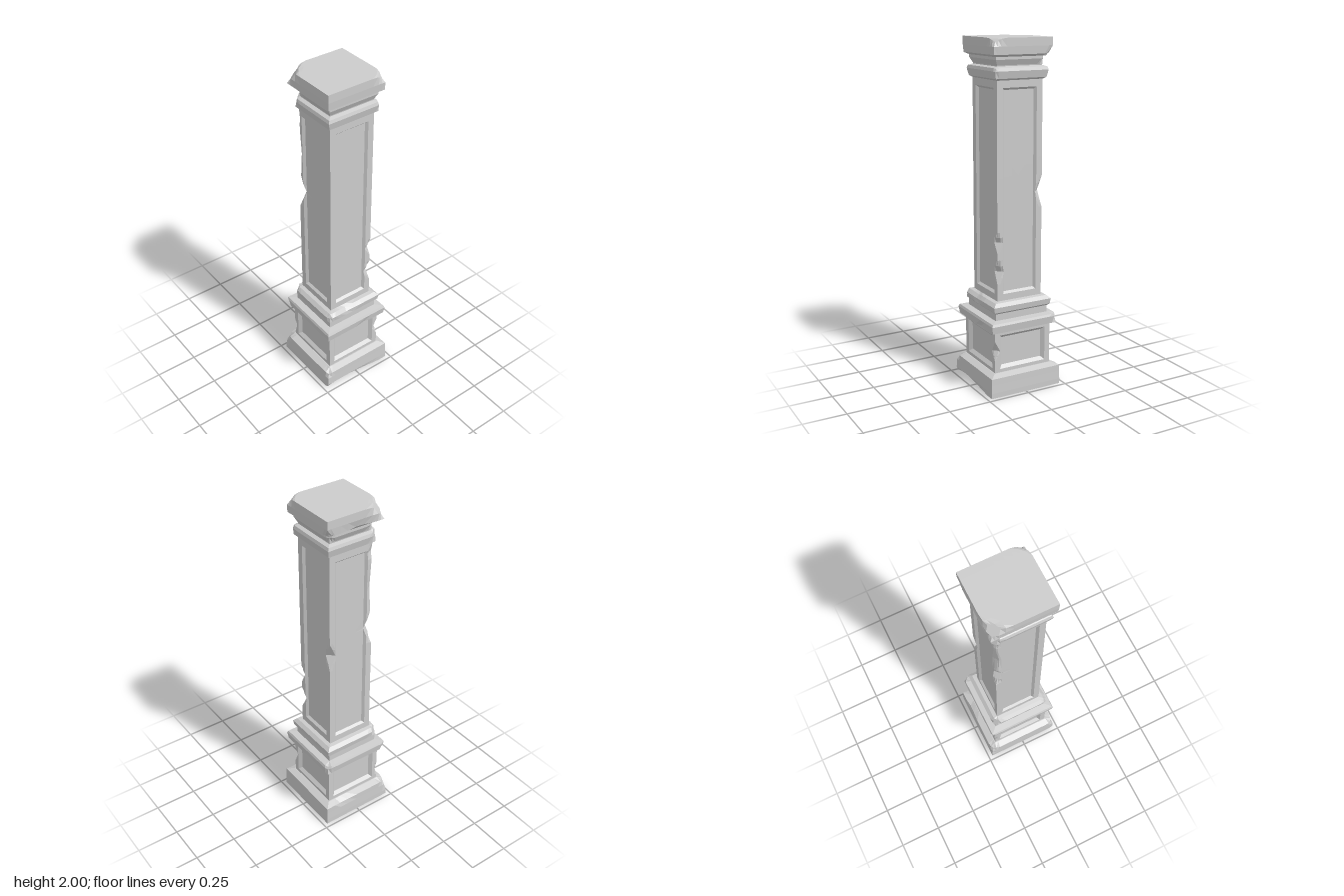
import * as THREE from 'three';

const V = (x, y, z) => new THREE.Vector3(x, y, z);

// A chip is a cutting plane: normal n, deepest point p, getting shallower by k along axis t.
function chip(n, p, t = V(0, 1, 0), k = 0, rows = []) {
  return { n: n.normalize(), p, t, k, rows };
}

// V-shaped notch on a vertical edge of a block of half width w
function edgeChip(sx, sz, w, y, depth, h, lean = 1) {
  const n = V(sx, 0, sz * lean).normalize();
  const p = V(sx * w, y, sz * w).addScaledVector(n, -depth);
  return chip(n, p, V(0, 1, 0), depth / h, [y - h, y - h / 2, y, y + h / 2, y + h]);
}

// Slanted break on a corner; ny tilts the break up or down
function cornerChip(sx, ny, sz, w, y, depth) {
  const n = V(sx, ny, sz).normalize();
  return chip(n, V(sx * w, y, sz * w).addScaledVector(n, -depth));
}

function applyChips(v, chips) {
  for (const c of chips) {
    const d = v.clone().sub(c.p);
    const over = d.dot(c.n) - c.k * Math.abs(d.dot(c.t));
    if (over > 0) v.addScaledVector(c.n, -over);
  }
  return v;
}

// Insert extra heights into a profile of [half width, y]
function refine(profile, ys) {
  const out = [profile[0]];
  for (let i = 1; i < profile.length; i++) {
    const [w0, y0] = profile[i - 1], [w1, y1] = profile[i];
    const inner = [...new Set(ys)].filter(y => y > y0 + 1e-4 && y < y1 - 1e-4).sort((a, b) => a - b);
    for (const y of inner) out.push([w0 + (w1 - w0) * (y - y0) / (y1 - y0), y]);
    out.push([w1, y1]);
  }
  return out;
}

// Square stone block from a profile, with an optional recessed panel on all four sides
function block(name, profile, material, { chips = [], panel = null } = {}) {
  const w = profile[0][0];
  const a = panel ? panel.half / w : 0.75;
  const b = panel ? (panel.half - panel.bevel) / w : 0.55;
  const half = [0.3, b, a, (1 + a) / 2, 1];
  const cols = [...half.map(u => -u).reverse(), 0, ...half];
  const ys = chips.flatMap(c => c.rows);
  if (panel) ys.push(panel.y0, panel.y0 + panel.bevel, panel.y1 - panel.bevel, panel.y1);
  const rows = refine(profile, ys);
  const mid = panel ? (panel.y0 + panel.y1) / 2 : 0;
  const pos = [];
  const quad = (p, q, r, s, flip) => {
    const list = flip ? [p, q, s, q, r, s] : [p, q, r, p, r, s];
    for (const v of list) pos.push(...applyChips(v.clone(), chips).toArray());
  };
  const inset = (u, y) => panel && Math.abs(u) <= b + 1e-4 &&
    y > panel.y0 + panel.bevel - 1e-4 && y < panel.y1 - panel.bevel + 1e-4 ? panel.depth : 0;
  const up = V(0, 1, 0);
  for (let side = 0; side < 4; side++) {
    const pt = (u, [hw, y]) => V(u * hw, y, hw - inset(u, y)).applyAxisAngle(up, side * Math.PI / 2);
    for (let j = 0; j < rows.length - 1; j++) {
      for (let i = 0; i < cols.length - 1; i++) {
        const [u0, u1, r0, r1] = [cols[i], cols[i + 1], rows[j], rows[j + 1]];
        const flip = (u0 + u1) * ((r0[1] + r1[1]) / 2 - mid) < 0;
        quad(pt(u0, r0), pt(u1, r0), pt(u1, r1), pt(u0, r1), flip);
      }
    }
  }
  // Bottom and top faces
  for (const [row, isTop] of [[rows[0], false], [rows[rows.length - 1], true]]) {
    const [hw, y] = row;
    const pt = (u, v) => V(u * hw, y, v * hw);
    for (let i = 0; i < cols.length - 1; i++) {
      for (let j = 0; j < cols.length - 1; j++) {
        const [x0, x1, z0, z1] = [cols[i], cols[i + 1], cols[j], cols[j + 1]];
        const c = [pt(x0, z0), pt(x0, z1), pt(x1, z1), pt(x1, z0)];
        if (!isTop) c.reverse();
        quad(...c, (x0 + x1) * (z0 + z1) > 0);
      }
    }
  }
  const geometry = new THREE.BufferGeometry();
  geometry.setAttribute('position', new THREE.Float32BufferAttribute(pos, 3));
  geometry.computeVertexNormals();
  const mesh = new THREE.Mesh(geometry, material);
  mesh.name = name;
  return mesh;
}

export function createModel() {
  const group = new THREE.Group();
  group.name = 'stonePillar';
  const stone = new THREE.MeshStandardMaterial({ color: 0xcccccc, flatShading: true });
  const add = (name, profile, options) => group.add(block(name, profile, stone, options));
  const X = V(1, 0, 0);

  // Plinth with broken lower front edge and chipped corners
  add('plinth', [[0.225, 0], [0.225, 0.03], [0.223, 0.08], [0.222, 0.115], [0.185, 0.13]], {
    chips: [
      chip(V(0, -0.87, 0.49), V(-0.1, 0, 0.17), X, 0.1),
      cornerChip(-1, 1, 1, 0.222, 0.115, 0.02),
      cornerChip(-1, 0.8, -1, 0.222, 0.115, 0.025),
      chip(V(0, 0.7, -0.7), V(0.1, 0.1, -0.215), X, 0.25),
    ],
  });

  // Pedestal with panels
  add('pedestal', [[0.18, 0.125], [0.18, 0.38]], {
    panel: { half: 0.147, y0: 0.15, y1: 0.352, bevel: 0.018, depth: 0.018 },
    chips: [edgeChip(1, 1, 0.18, 0.26, 0.022, 0.06), edgeChip(-1, -1, 0.18, 0.2, 0.012, 0.05)],
  });

  // Pedestal cornice
  add('pedestalCornice', [[0.18, 0.368], [0.207, 0.378], [0.213, 0.42], [0.207, 0.433], [0.165, 0.438]], {
    chips: [
      chip(V(0, -0.6, 0.8), V(0.05, 0.385, 0.2), X, 0.2),
      cornerChip(1, 0.6, -1, 0.21, 0.43, 0.02),
      cornerChip(-1, -0.6, -1, 0.21, 0.38, 0.02),
    ],
  });

  // Neck and moulding under the shaft
  add('shaftBaseNeck', [[0.167, 0.43], [0.167, 0.48]]);
  add('shaftBaseMoulding', [[0.165, 0.475], [0.18, 0.488], [0.185, 0.52], [0.165, 0.538], [0.14, 0.542]], {
    chips: [
      cornerChip(-1, 0.3, 1, 0.185, 0.52, 0.02),
      cornerChip(-1, 0.5, -1, 0.185, 0.52, 0.035),
      chip(V(0, 0.7, 0.7), V(-0.05, 0.515, 0.172), X, 0.15),
    ],
  });

  // Shaft with long panels and notched edges
  add('shaft', [[0.142, 0.535], [0.142, 1.79]], {
    panel: { half: 0.106, y0: 0.58, y1: 1.735, bevel: 0.012, depth: 0.014 },
    chips: [
      edgeChip(1, 1, 0.142, 0.71, 0.032, 0.07),
      edgeChip(1, 1, 0.142, 0.88, 0.026, 0.06),
      edgeChip(1, -1, 0.142, 1.15, 0.034, 0.09),
      edgeChip(-1, -1, 0.142, 1.25, 0.045, 0.11),
      edgeChip(-1, -1, 0.142, 1.5, 0.022, 0.3, 1.5),
      edgeChip(-1, -1, 0.142, 1.72, 0.02, 0.08, 2),
    ],
  });

  // Moulding above the shaft
  add('upperMoulding', [[0.142, 1.775], [0.157, 1.785], [0.166, 1.825], [0.16, 1.842], [0.138, 1.85]], {
    chips: [cornerChip(-1, 0.3, -1, 0.165, 1.835, 0.035), cornerChip(1, 0.5, 1, 0.165, 1.835, 0.012)],
  });

  // Flared necking
  add('capitalNeck', [[0.138, 1.84], [0.14, 1.855], [0.155, 1.885], [0.155, 1.912]], {
    chips: [cornerChip(1, 0, -1, 0.155, 1.89, 0.02), cornerChip(-1, 0, -1, 0.155, 1.89, 0.035)],
  });

  // Cap slab with one large broken corner
  add('capital', [[0.155, 1.9], [0.178, 1.912], [0.181, 1.955], [0.181, 2]], {
    chips: [
      cornerChip(-1, 1, -1, 0.181, 2, 0.055),
      cornerChip(1, 1.2, 1, 0.181, 2, 0.032),
      cornerChip(1, -1, -1, 0.178, 1.912, 0.02),
      chip(V(0, -0.6, -0.8), V(-0.02, 1.92, -0.17), X, 0.12),
    ],
  });

  return group;
}
